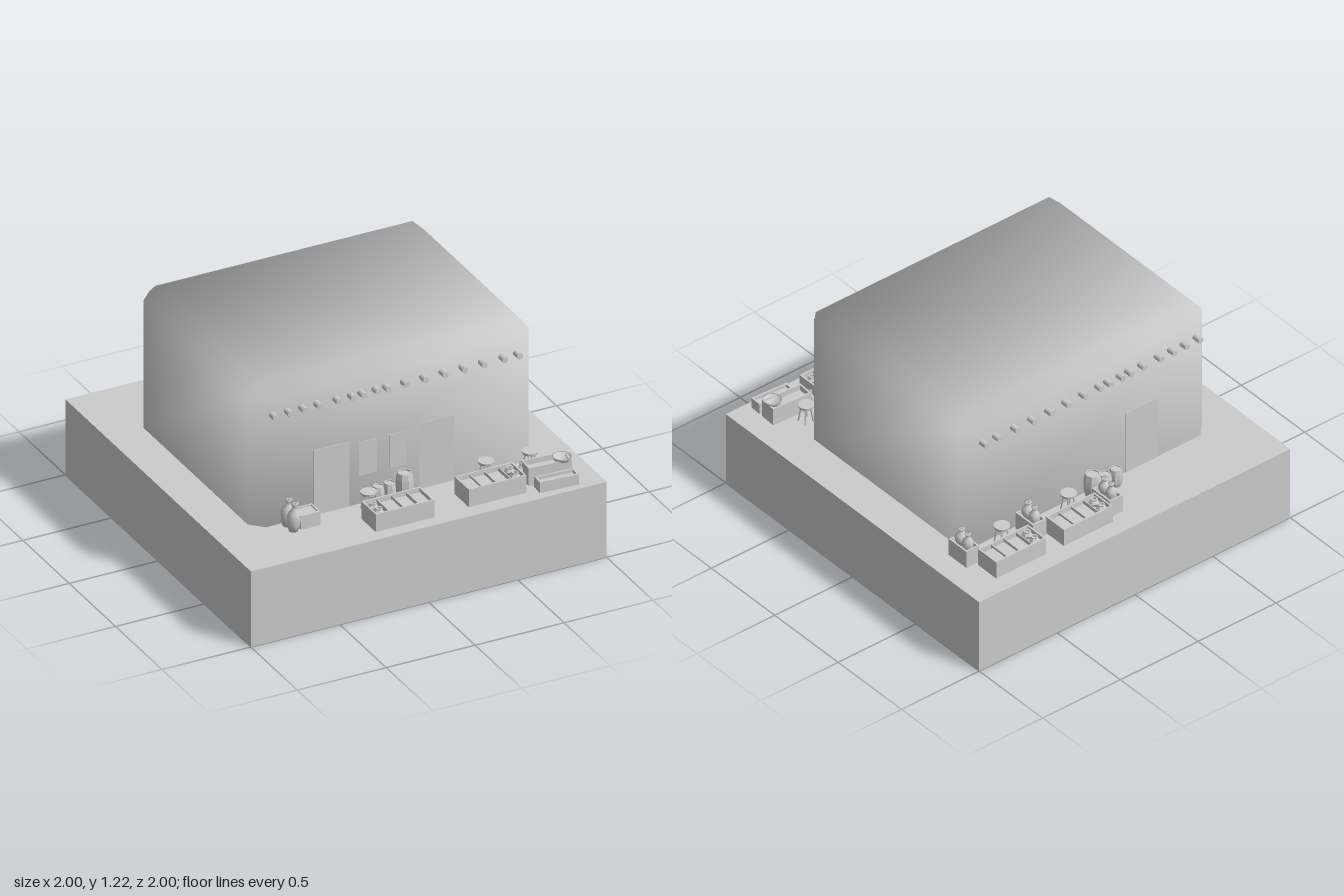
import * as THREE from 'three';

const GROUND = 0.43;
const smooth = new THREE.MeshStandardMaterial({ color: 0xcccccc, side: THREE.DoubleSide });
const flat = new THREE.MeshStandardMaterial({ color: 0xcccccc, side: THREE.DoubleSide, flatShading: true });

function add(parent, name, geometry, x, y, z, material = flat) {
  const mesh = new THREE.Mesh(geometry, material);
  mesh.name = name;
  mesh.position.set(x, y, z);
  parent.add(mesh);
  return mesh;
}

function group(parent, name, x, z, turn = 0) {
  const g = new THREE.Group();
  g.name = name;
  g.position.set(x, GROUND, z);
  g.rotation.y = turn;
  parent.add(g);
  return g;
}

// Plinth without a bottom face
function plinthGeometry() {
  const g = new THREE.BoxGeometry(2, GROUND, 2);
  const index = Array.from(g.index.array);
  index.splice(18, 6);
  g.setIndex(index);
  return g;
}

// Chamfered hall: octagonal wall loops closed by a rectangular roof, soft normals
function hallGeometry(w, d, y0, y1, c) {
  const pos = [], nor = [], idx = [];
  const corners = [[1, 1], [1, -1], [-1, -1], [-1, 1]];
  const put = (x, y, z, sx, sy, sz) => {
    pos.push(x, y, z);
    const n = new THREE.Vector3(sx, sy, sz).normalize();
    nor.push(n.x, n.y, n.z);
  };
  for (const [y, up] of [[y0, 0], [y1 - c, 1]]) {
    corners.forEach(([sx, sz], i) => {
      const a = [sx * (w - c), sz * d], b = [sx * w, sz * (d - c)];
      for (const p of i % 2 ? [b, a] : [a, b]) put(p[0], y, p[1], sx, up, sz);
    });
  }
  for (const [sx, sz] of corners) put(sx * (w - c), y1, sz * (d - c), sx, 1, sz);
  for (let i = 0; i < 8; i++) {
    const j = (i + 1) % 8;
    idx.push(i, j, 8 + j, i, 8 + j, 8 + i);
    const r = 16 + (i >> 1), s = 16 + (j >> 1);
    idx.push(8 + i, 8 + j, s);
    if (r !== s) idx.push(8 + i, s, r);
  }
  idx.push(16, 17, 18, 16, 18, 19);
  const g = new THREE.BufferGeometry();
  g.setAttribute('position', new THREE.Float32BufferAttribute(pos, 3));
  g.setAttribute('normal', new THREE.Float32BufferAttribute(nor, 3));
  g.setIndex(idx);
  return g;
}

function lathe(points, sides) {
  return new THREE.LatheGeometry(points.map(([r, y]) => new THREE.Vector2(r, y)), sides);
}

// Narrow-necked bottle with a flared lip
function bottle(parent, x, y, z, r, h) {
  const profile = [[0, 0], [0.65, 0], [0.9, 0.2], [1, 0.45], [0.8, 0.65], [0.35, 0.78], [0.32, 0.88], [0.6, 1], [0.2, 0.97]];
  return add(parent, 'bottle', lathe(profile.map(([a, b]) => [a * r, b * h]), 8), x, y, z, smooth);
}

// Bulging barrel with a recessed lid
function barrel(parent, x, z, r, h) {
  const profile = [[0, 0], [0.75, 0], [0.95, 0.25], [1, 0.5], [0.95, 0.75], [0.8, 1], [0.68, 1], [0.68, 0.94], [0, 0.94]];
  add(parent, 'barrel', lathe(profile.map(([a, b]) => [a * r, b * h]), 8), x, GROUND, z);
}

// Round stool on splayed legs
function stool(parent, x, z) {
  const g = group(parent, 'stool', x, z);
  add(g, 'stoolSeat', new THREE.CylinderGeometry(0.042, 0.04, 0.014, 16), 0, 0.098, 0);
  for (let i = 0; i < 4; i++) {
    const a = Math.PI / 4 + i * Math.PI / 2;
    const path = new THREE.LineCurve3(
      new THREE.Vector3(0.022 * Math.cos(a), 0.094, 0.022 * Math.sin(a)),
      new THREE.Vector3(0.038 * Math.cos(a), 0, 0.038 * Math.sin(a)));
    add(g, 'stoolLeg', new THREE.TubeGeometry(path, 1, 0.005, 5), 0, 0, 0);
  }
}

// Open-topped crate
function crate(parent, name, x, z, w, d, h, turn = 0, fill = 0.7) {
  const g = group(parent, name, x, z, turn), t = 0.01;
  for (const s of [-1, 1]) {
    add(g, 'crateLongSide', new THREE.BoxGeometry(w, h, t), 0, h / 2, s * (d - t) / 2);
    add(g, 'crateEnd', new THREE.BoxGeometry(t, h, d - 2 * t), s * (w - t) / 2, h / 2, 0);
  }
  add(g, 'crateContents', new THREE.BoxGeometry(w - 2 * t, h * fill, d - 2 * t), 0, h * fill / 2, 0);
  return g;
}

// Display crate with dividers, goods and two pots at one end
function displayCrate(parent, x, z, w, d, end) {
  const h = 0.1, g = crate(parent, 'displayCrate', x, z, w, d, h, 0, 0.65);
  for (const f of [-0.25, 0, 0.25]) {
    add(g, 'crateDivider', new THREE.BoxGeometry(0.006, 0.03, d - 0.02), -end * f * w, 0.08, 0);
  }
  for (const f of [-0.12, 0.12, 0.36]) {
    add(g, 'goods', new THREE.BoxGeometry(w * 0.2, 0.018, d * 0.7), -end * f * w, 0.073, 0);
  }
  const pot = [[0, 0], [0.02, 0], [0.028, 0.02], [0.018, 0.035], [0.02, 0.042], [0.012, 0.042], [0.012, 0.03], [0, 0.03]];
  for (const s of [-1, 1]) add(g, 'pot', lathe(pot, 6), end * w * 0.375, 0.063, s * 0.029);
}

export function createModel() {
  const model = new THREE.Group();
  model.name = 'marketHall';

  add(model, 'plinth', plinthGeometry(), 0, GROUND / 2, 0);
  add(model, 'hall', hallGeometry(0.79, 0.63, GROUND, 1.22, 0.067), 0, 0, 0, smooth);

  // Roof beam ends, front and back
  const beams = [-0.69, -0.605, -0.525, -0.44, -0.333, -0.25, -0.193, -0.113, -0.055, 0.047, 0.155, 0.265, 0.375, 0.485, 0.6, 0.683];
  const beam = new THREE.CylinderGeometry(0.017, 0.017, 0.055, 10).rotateX(Math.PI / 2);
  for (const s of [-1, 1]) for (const x of beams) add(model, 'beamEnd', beam, x, 1.065, s * 0.647, smooth);

  // Flush doors and windows: x from, x to, y from, y to, side
  for (const [a, b, lo, hi, s] of [
    [-0.455, -0.255, GROUND, 0.8, 1], [0.14, 0.335, GROUND, 0.8, 1],
    [-0.2, -0.1, 0.59, 0.78, 1], [-0.03, 0.07, 0.59, 0.78, 1],
    [-0.45, -0.24, GROUND, 0.8, -1]]) {
    add(model, lo > GROUND ? 'window' : 'door', new THREE.BoxGeometry(b - a, hi - lo, 0.004), (a + b) / 2, (lo + hi) / 2, s * 0.631);
  }

  // Long display crates
  displayCrate(model, -0.095, 0.85, 0.33, 0.155, -1);
  displayCrate(model, 0.432, 0.838, 0.325, 0.155, 1);
  displayCrate(model, 0.222, -0.834, 0.315, 0.145, -1);
  displayCrate(model, 0.65, -0.829, 0.32, 0.145, -1);

  // Small bottle crates at the back
  for (const [x, z] of [[0.011, -0.8], [0.432, -0.71], [0.828, -0.67]]) {
    const g = crate(model, 'bottleCrate', x, z, 0.085, 0.14, 0.1, 0, 0.75);
    bottle(g, 0.004, 0.075, -0.034, 0.03, 0.1);
    bottle(g, -0.003, 0.075, 0.026, 0.034, 0.095);
  }

  // Skewed crates with a bowl and a leaning flask
  const upper = crate(model, 'skewedCrate', 0.755, 0.82, 0.235, 0.095, 0.1, -0.06);
  const bowl = [[0, 0], [0.025, 0], [0.042, 0.012], [0.05, 0.03], [0.044, 0.03], [0.035, 0.015], [0, 0.01]];
  add(upper, 'bowl', lathe(bowl, 16), 0.08, 0.08, 0.012, smooth);
  crate(model, 'lowCrate', 0.76, 0.922, 0.215, 0.068, 0.06, -0.06);
  bottle(model, 0.622, GROUND, 0.785, 0.016, 0.1).rotation.z = -0.08;

  // Tall jars beside a small box
  bottle(model, -0.62, GROUND, 0.66, 0.037, 0.15).rotation.z = -0.06;
  bottle(model, -0.617, GROUND, 0.722, 0.037, 0.155).rotation.z = -0.06;
  crate(model, 'smallBox', -0.525, 0.688, 0.11, 0.095, 0.078, 0, 0.9);

  // Barrels and stools along both walls
  for (const [x, z, r, h] of [
    [-0.115, 0.675, 0.035, 0.105], [-0.05, 0.672, 0.035, 0.105], [0.033, 0.677, 0.048, 0.145],
    [-0.14, -0.68, 0.036, 0.105], [-0.07, -0.68, 0.036, 0.105], [0.01, -0.68, 0.047, 0.145]]) barrel(model, x, z, r, h);
  for (const [x, z] of [[-0.185, 0.705], [0.482, 0.695], [0.724, 0.705], [0.17, -0.687], [0.597, -0.685]]) stool(model, x, z);

  return model;
}
